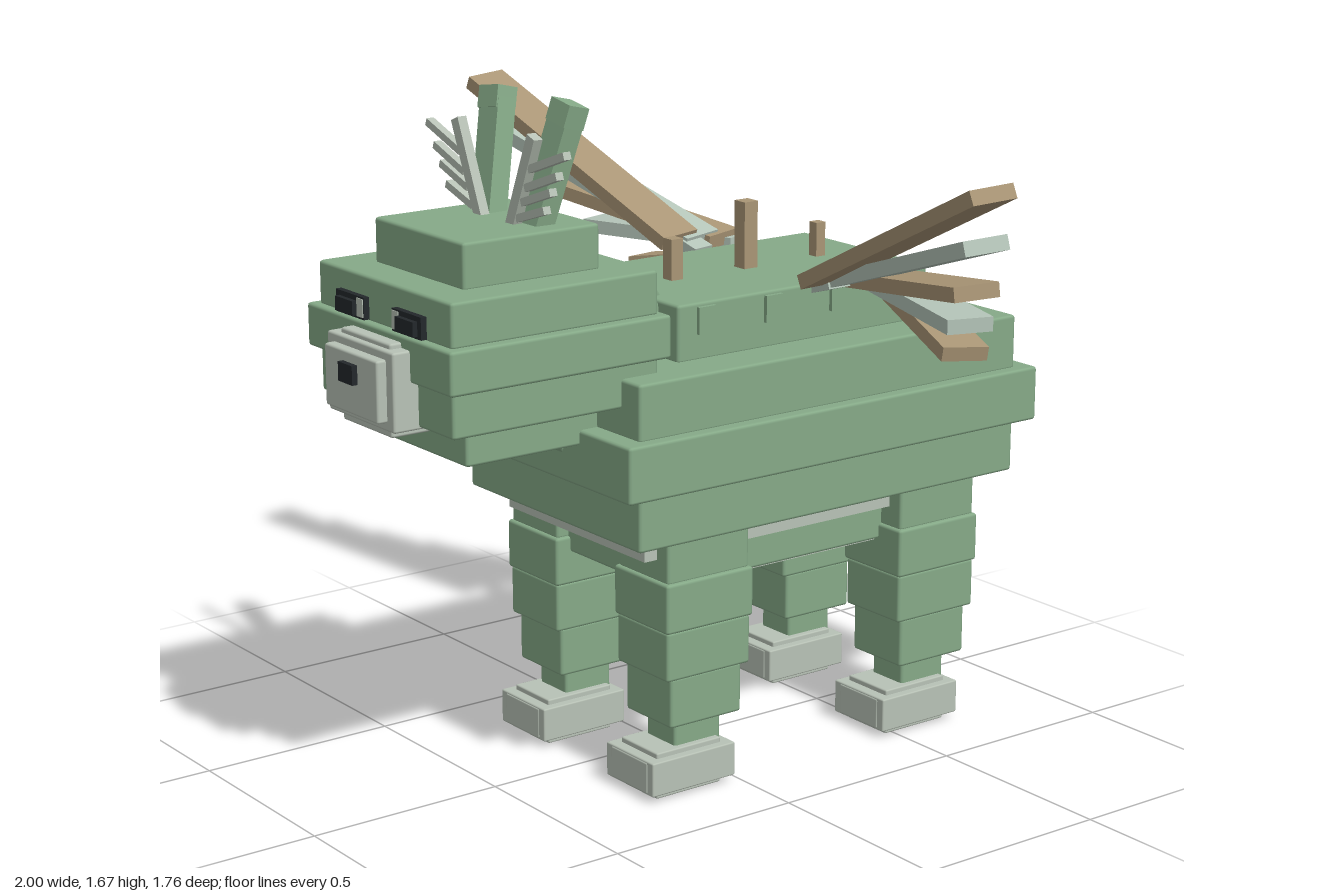
import * as THREE from 'three';
import { RoundedBoxGeometry } from 'three/addons/geometries/RoundedBoxGeometry.js';

const material = (name, color) => {
  const m = new THREE.MeshStandardMaterial({ color });
  m.name = name;
  return m;
};

export function createModel() {
  const root = new THREE.Group();
  root.name = 'wingedBeast';
  const green = material('sage green', 0x86aa88);
  const grey = material('pale grey', 0xb8c2b6);
  const mint = material('feather grey', 0xb5c5b9);
  const tan = material('feather tan', 0xaa9676);
  const black = material('eye black', 0x23282b);

  const group = (name) => {
    const g = new THREE.Group();
    g.name = name;
    root.add(g);
    return g;
  };
  // Box given by its limits on each axis, with a small chamfer when large enough
  const box = (parent, name, mat, [x0, x1], [y0, y1], [z0, z1], chamfer = 0.008) => {
    const [w, h, d] = [x1 - x0, y1 - y0, z1 - z0];
    const geo = chamfer > 0 && Math.min(w, h, d) > 0.04
      ? new RoundedBoxGeometry(w, h, d, 1, chamfer)
      : new THREE.BoxGeometry(w, h, d);
    const mesh = new THREE.Mesh(geo, mat);
    mesh.name = name;
    mesh.position.set((x0 + x1) / 2, (y0 + y1) / 2, (z0 + z1) / 2);
    parent.add(mesh);
    return mesh;
  };
  const sym = (x) => [-x, x];
  const span = (c, size) => [c - size / 2, c + size / 2];
  const side = (s, a, b) => (s > 0 ? [a, b] : [-b, -a]);
  // Flat beam from a to b whose width stays as close as possible to the given direction
  const beam = (parent, name, mat, a, b, width, thick, across) => {
    const from = new THREE.Vector3(...a), to = new THREE.Vector3(...b);
    const dir = to.clone().sub(from), length = dir.length();
    dir.normalize();
    const up = new THREE.Vector3().crossVectors(new THREE.Vector3(...across), dir).normalize();
    const wide = new THREE.Vector3().crossVectors(dir, up);
    const mesh = new THREE.Mesh(new THREE.BoxGeometry(length, thick, width), mat);
    mesh.name = name;
    mesh.quaternion.setFromRotationMatrix(new THREE.Matrix4().makeBasis(dir, up, wide));
    mesh.position.copy(from).add(to).multiplyScalar(0.5);
    parent.add(mesh);
  };

  // Stepped torso, belly and raised back
  const body = group('body');
  box(body, 'torsoLower', green, sym(0.35), [0.64, 0.775], [-0.83, 0.325]);
  box(body, 'torsoMiddle', green, sym(0.38), [0.77, 0.907], [-0.88, 0.375]);
  box(body, 'torsoUpper', green, sym(0.35), [0.902, 1.04], [-0.83, 0.325]);
  box(body, 'bellyBand', grey, sym(0.28), [0.59, 0.645], [-0.74, 0.26], 0);
  box(body, 'belly', green, sym(0.25), [0.5, 0.6], [-0.69, 0.19]);
  box(body, 'bellyPlate', grey, sym(0.235), [0.495, 0.501], [-0.67, 0.17], 0);
  box(body, 'backRidge', green, sym(0.235), [1.035, 1.175], [-0.635, 0.13]);
  for (const s of [-1, 1]) {
    for (const z of [0.05, -0.15, -0.35, -0.55]) {
      box(body, 'sideStud', green, side(s, 0.22, 0.245), [1.1, 1.165], span(z, 0.05), 0);
    }
  }

  // Row of spikes: z, base height, top, width
  const spikes = group('spikes');
  for (const [z, y0, y1, w] of [
    [-0.033, 1.17, 1.275, 0.034], [-0.255, 1.17, 1.34, 0.04],
    [-0.48, 1.17, 1.26, 0.028], [-0.705, 1.035, 1.11, 0.044], [-0.705, 1.1, 1.18, 0.02],
  ]) box(spikes, 'spike', tan, span(0, w), [y0, y1], span(z, w), 0);

  // Legs with stacked segments; feet sit slightly forward
  for (const [z, part] of [[0.104, 'frontLeg'], [-0.61, 'backLeg']]) {
    for (const s of [-1, 1]) {
      const leg = group((s > 0 ? 'left' : 'right') + part);
      const x = 0.225 * s;
      for (const [y0, y1, w, d] of [
        [0.535, 0.65, 0.195, 0.24], [0.417, 0.54, 0.212, 0.256],
        [0.297, 0.42, 0.2, 0.246], [0.175, 0.3, 0.18, 0.21], [0.1, 0.18, 0.112, 0.137],
      ]) box(leg, 'legSegment', green, span(x, w), [y0, y1], span(z, d));
      box(leg, 'hoof', grey, span(x, 0.187), [0.017, 0.102], span(z + 0.038, 0.246), 0.004);
      box(leg, 'hoofCore', grey, span(x, 0.144), [0, 0.115], span(z + 0.038, 0.19), 0.004);
      box(leg, 'hoofToe', grey, span(x, 0.144), [0.02, 0.098], span(z + 0.038, 0.25), 0.004);
    }
  }

  // Neck slanting up and forward
  const neck = group('neck');
  neck.position.set(0, 0.969, 0.209);
  neck.rotation.x = 0.567;
  box(neck, 'neckCore', green, sym(0.12), sym(0.175), sym(0.21));
  box(neck, 'neckSides', green, sym(0.16), sym(0.16), sym(0.175));

  // Head in five layers
  const head = group('head');
  for (const [y0, y1, x, z0, z1] of [
    [0.87, 0.975, 0.185, 0.31, 0.685], [0.97, 1.08, 0.28, 0.22, 0.78],
    [1.075, 1.178, 0.305, 0.2, 0.8], [1.174, 1.28, 0.28, 0.22, 0.78],
    [1.275, 1.385, 0.185, 0.315, 0.685],
  ]) box(head, 'headLayer', green, sym(x), [y0, y1], [z0, z1]);
  box(head, 'muzzle', grey, sym(0.14), [0.965, 1.15], [0.7, 0.845], 0.006);
  box(head, 'muzzleCore', grey, sym(0.105), [0.945, 1.162], [0.7, 0.83], 0.006);
  box(head, 'muzzleFront', grey, sym(0.112), [0.985, 1.13], [0.75, 0.87], 0.006);
  box(head, 'nose', black, sym(0.03), [1.06, 1.105], [0.86, 0.884], 0);

  for (const s of [-1, 1]) {
    // Eyes with a pale glint on the inner side
    box(head, 'eye', black, side(s, 0.06, 0.18), [1.18, 1.232], [0.77, 0.795], 0);
    box(head, 'pupil', black, side(s, 0.09, 0.165), [1.186, 1.22], [0.79, 0.807], 0);
    box(head, 'eyeGlint', grey, side(s, 0.062, 0.088), [1.185, 1.228], [0.792, 0.797], 0);

    // Ears leaning back and out
    beam(head, 'ear', green, [0.09 * s, 1.35, 0.437], [0.14 * s, 1.635, 0.37], 0.075, 0.05, [1, 0, 0]);
    beam(head, 'earTip', green, [0.137 * s, 1.61, 0.377], [0.145 * s, 1.66, 0.365], 0.076, 0.055, [1, 0, 0]);

    // Antlers with four twigs
    beam(head, 'antler', grey, [0.06 * s, 1.37, 0.47], [0.155 * s, 1.595, 0.47], 0.024, 0.03, [0, 0, 1]);
    for (const [x0, y0, x1, y1] of [
      [0.14, 1.52, 0.28, 1.57], [0.125, 1.475, 0.25, 1.52],
      [0.11, 1.44, 0.225, 1.48], [0.09, 1.4, 0.2, 1.435],
    ]) beam(head, 'antlerTwig', grey, [x0 * s, y0, 0.47], [x1 * s, y1, 0.47], 0.02, 0.018, [0, 0, 1]);

    // Wing fan: root y, root z, then tip x, y, z
    const wing = group(s > 0 ? 'leftWing' : 'rightWing');
    [
      [1.195, -0.26, 0.984, 1.522, -0.15], [1.185, -0.33, 0.908, 1.39, -0.205],
      [1.18, -0.4, 0.822, 1.262, -0.26], [1.165, -0.465, 0.728, 1.157, -0.33],
      [1.125, -0.53, 0.632, 1.06, -0.405],
    ].forEach(([y0, z0, x1, y1, z1], i) => {
      beam(wing, 'feather', i % 2 ? mint : tan, [0.275 * s, y0, z0], [x1 * s, y1, z1], 0.115, 0.035, [0, 0, 1]);
    });
    beam(wing, 'wingRoot', mint, [0.23 * s, 1.165, -0.3], [0.31 * s, 1.19, -0.29], 0.06, 0.03, [0, 0, 1]);
  }
  return root;
}
